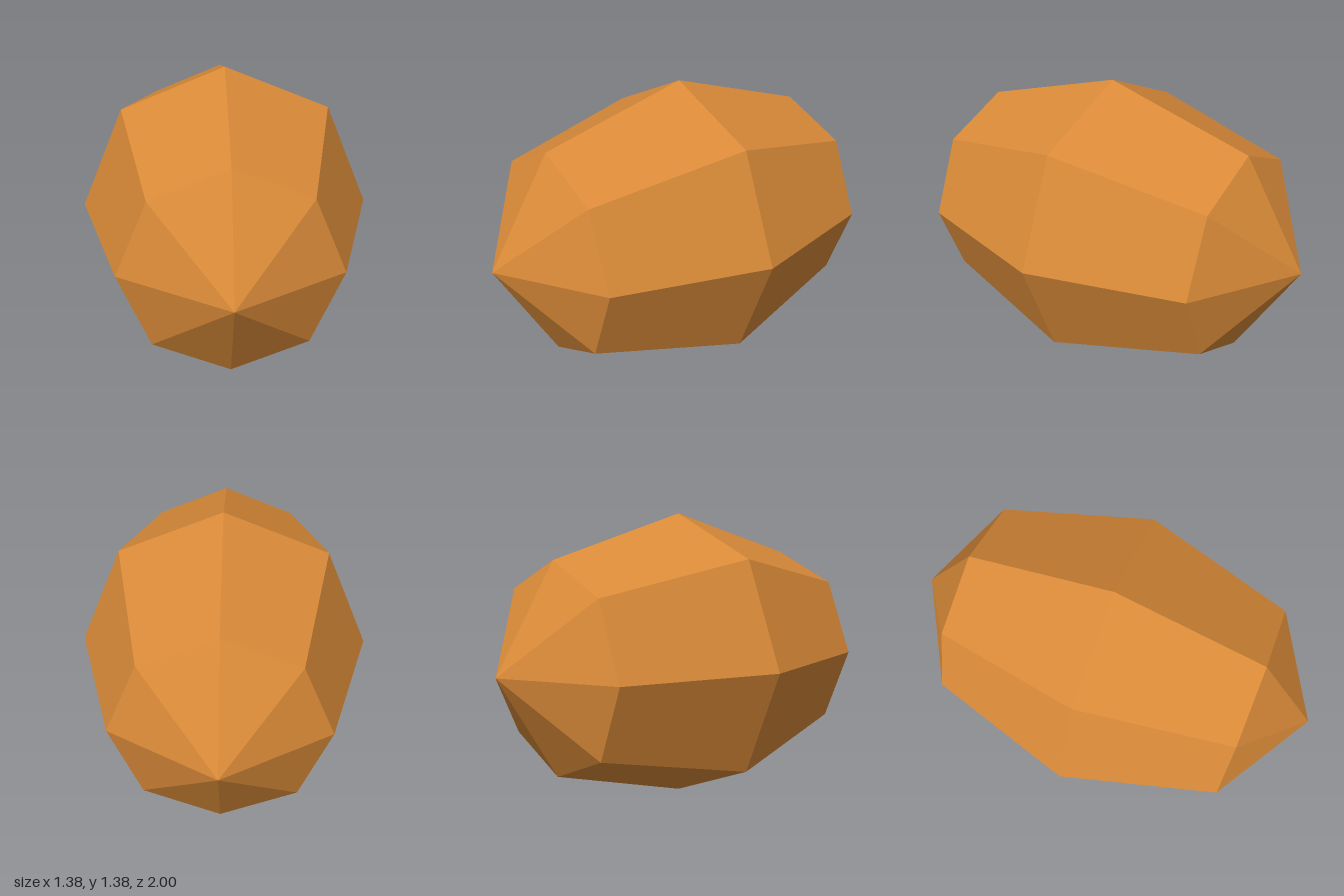
import * as THREE from 'three';

export function createModel() {
  const group = new THREE.Group();
  group.name = 'facetedNugget';

  const amber = new THREE.MeshStandardMaterial({ color: 0xd98a38 });
  amber.name = 'amber';

  // Eight-sided, four-band ellipsoid lying along z, with flat facets
  const radius = 0.688;
  const sphere = new THREE.SphereGeometry(1, 8, 4);
  sphere.rotateX(Math.PI / 2);
  sphere.scale(radius, radius, 1);
  sphere.translate(0, radius, 0);
  const faceted = sphere.toNonIndexed();
  faceted.computeVertexNormals();

  const body = new THREE.Mesh(faceted, amber);
  body.name = 'body';
  group.add(body);
  return group;
}
